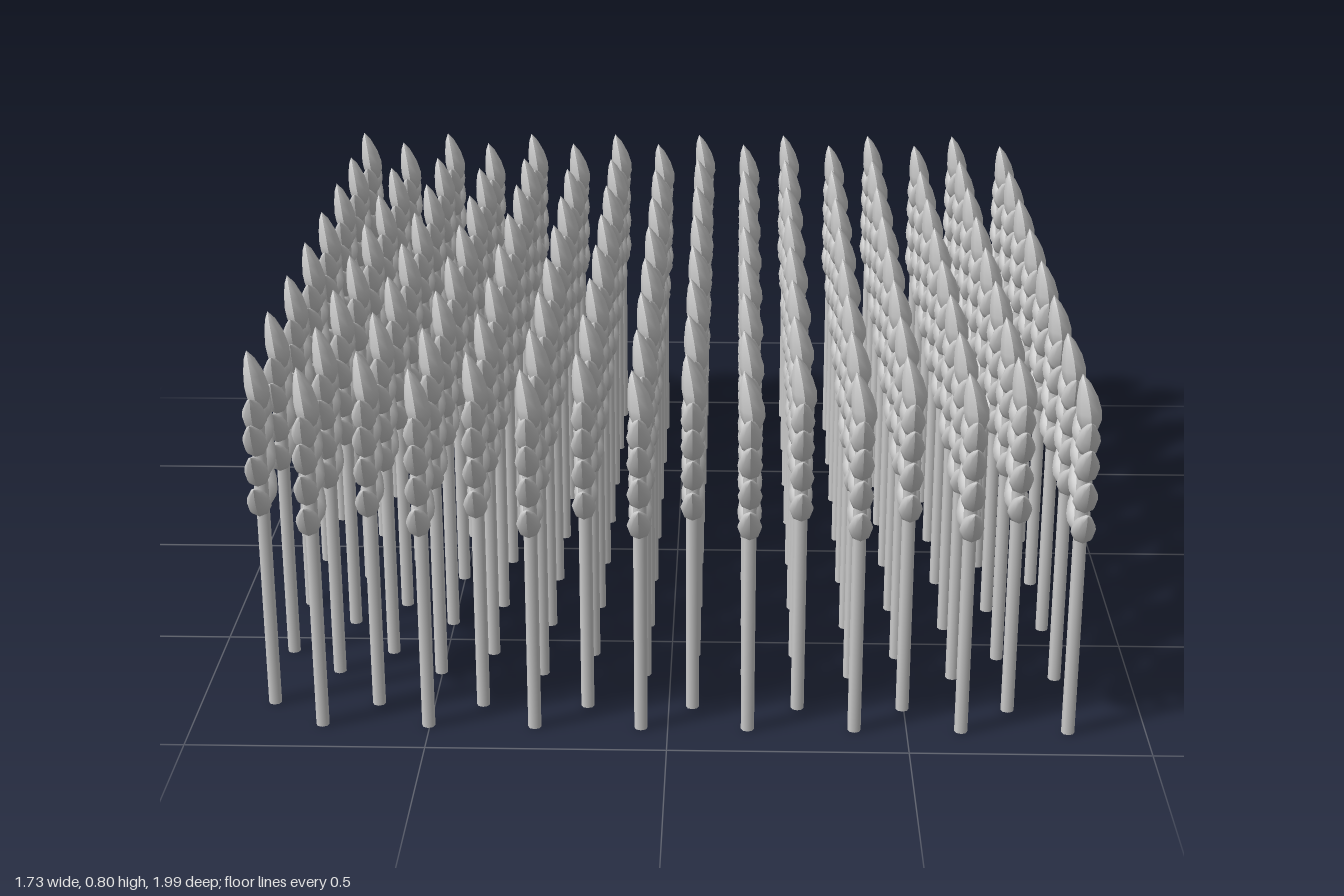
import * as THREE from 'three';
import { mergeGeometries } from 'three/addons/utils/BufferGeometryUtils.js';

const material = new THREE.MeshStandardMaterial({ color: 0xcccccc });

// Pointed grain growing up from the origin, bent sideways along its length
function grain(length, radius, bendX, bendZ) {
  const profile = [[0, 0], [0.6, 0.1], [0.95, 0.27], [1, 0.42], [0.82, 0.64], [0.45, 0.86], [0, 1]]
    .map(([r, t]) => new THREE.Vector2(r * radius, t * length));
  const geometry = new THREE.LatheGeometry(profile, 8);
  const p = geometry.attributes.position;
  for (let i = 0; i < p.count; i++) {
    const t = p.getY(i) / length;
    p.setX(i, p.getX(i) + bendX * t * t);
    p.setZ(i, p.getZ(i) + bendZ * t * t);
  }
  geometry.computeVertexNormals();
  return geometry;
}

// Ear: four pairs of side grains fanned along z, and one leaning tip grain
function makeEar() {
  const parts = [];
  const tiers = [[0.45, 0.92, 0.115], [0.515, 0.9, 0.125], [0.58, 0.86, 0.122], [0.635, 0.76, 0.105]];
  for (const [y, tilt, length] of tiers) {
    for (const side of [-1, 1]) {
      parts.push(grain(length, 0.025, 0, -side * 0.012)
        .rotateX(side * tilt)
        .translate(0, y, side * 0.003));
    }
  }
  parts.push(grain(0.135, 0.033, -0.026, 0).scale(0.78, 1, 1.08).translate(0.006, 0.665, 0));
  return mergeGeometries(parts);
}

export function createModel() {
  const field = new THREE.Group();
  field.name = 'wheatField';
  const ear = makeEar();
  const stem = new THREE.CylinderGeometry(0.014, 0.014, 0.68, 8).translate(0, 0.34, 0);

  // Two interleaved 8 x 8 grids of stalks
  const grids = [[-0.843, -0.902], [-0.726, -0.806]];
  for (const [x0, z0] of grids) {
    for (let column = 0; column < 8; column++) {
      for (let row = 0; row < 8; row++) {
        const stalk = new THREE.Group();
        stalk.name = 'stalk';
        for (const [name, geometry] of [['stem', stem], ['ear', ear]]) {
          const mesh = new THREE.Mesh(geometry, material);
          mesh.name = name;
          stalk.add(mesh);
        }
        stalk.position.set(x0 + column * 0.2233, 0, z0 + row * 0.244);
        field.add(stalk);
      }
    }
  }
  return field;
}
